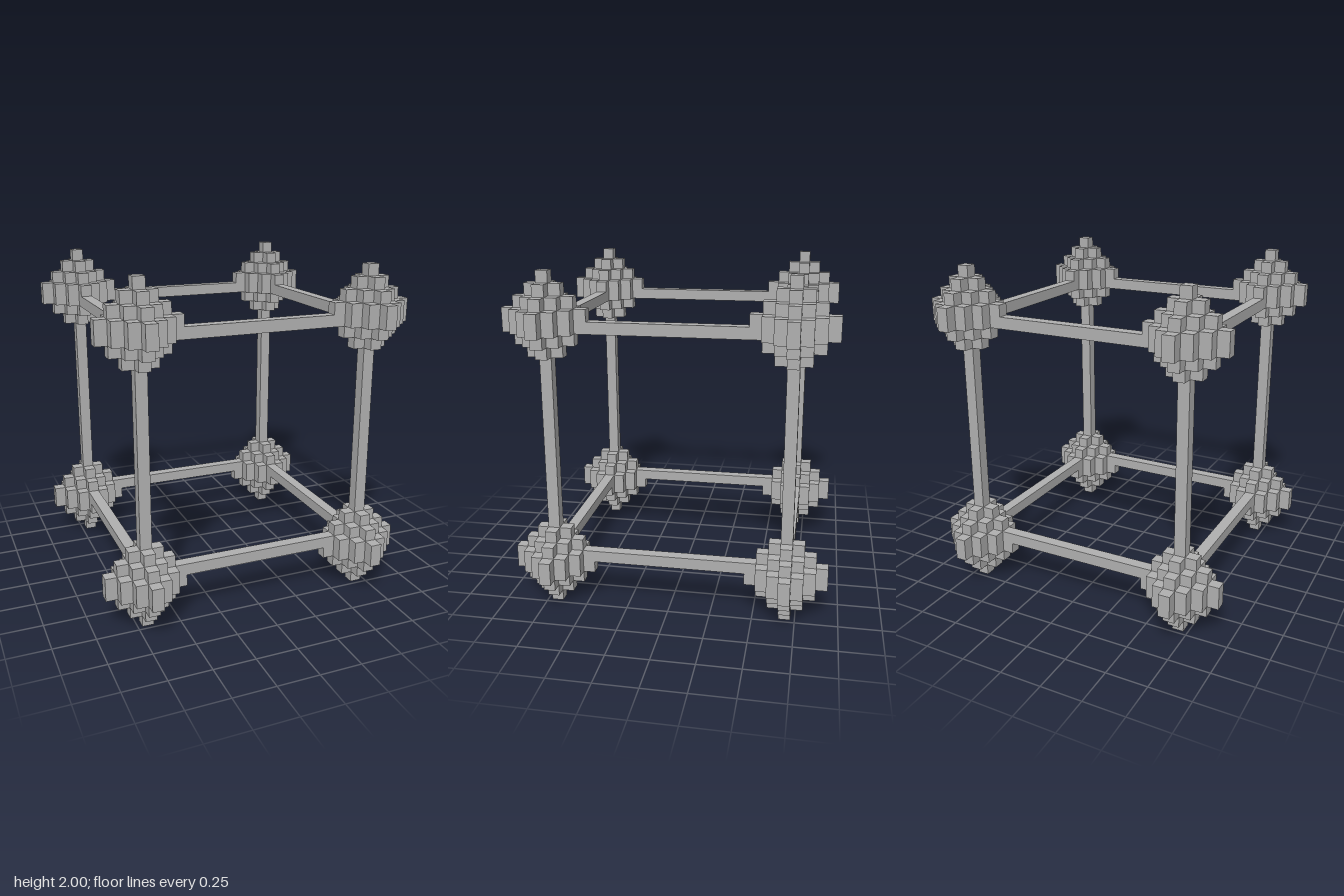
import * as THREE from 'three';

const U = 2 / 29;      // one block
const SPAN = 10 * U;   // corner offset from the centre axis

const stone = new THREE.MeshStandardMaterial({ color: 0xb0b0b0 });
stone.name = 'stone grey';

// Stepped diamond outline reaching k blocks from its centre, extruded upright
function diamondPrism(k, height) {
  const points = [];
  for (let q = 0; q < 4; q++) {
    for (let i = 0; i <= k; i++) {
      const steps = [[i + 0.5, k - i + 0.5]];
      if (i < k) steps.push([i + 0.5, k - i - 0.5]);
      for (let [x, y] of steps) {
        for (let r = 0; r < q; r++) [x, y] = [y, -x];
        points.push(new THREE.Vector2(x * U, y * U));
      }
    }
  }
  const geometry = new THREE.ExtrudeGeometry(new THREE.Shape(points), {
    depth: height, bevelEnabled: false,
  });
  return geometry.translate(0, 0, -height / 2).rotateX(-Math.PI / 2);
}

export function createModel() {
  const model = new THREE.Group();
  model.name = 'cubeFrame';

  const addBar = (name, w, h, d, x, y, z) => {
    const bar = new THREE.Mesh(new THREE.BoxGeometry(w * U, h * U, d * U), stone);
    bar.name = name;
    bar.position.set(x, y, z);
    model.add(bar);
  };

  // Corner nodes: nested prisms, tall and thin to short and wide
  const prisms = [0, 1, 2, 3].map((k) => diamondPrism(k, (8 - 2 * k) * U));
  for (const x of [-SPAN, SPAN]) {
    for (const z of [-SPAN, SPAN]) {
      for (const y of [4 * U, 25 * U]) {
        const node = new THREE.Group();
        node.name = 'cornerNode';
        node.position.set(x, y, z);
        prisms.forEach((geometry) => {
          const tier = new THREE.Mesh(geometry, stone);
          tier.name = 'nodeTier';
          node.add(tier);
        });
        model.add(node);
      }
      // Upright between the lower and upper nodes
      addBar('upright', 1, 13, 1, x, 14.5 * U, z);
    }
  }

  // Horizontal bars of the lower and upper squares
  for (const y of [4.5 * U, 24.5 * U]) {
    for (const side of [-SPAN, SPAN]) {
      addBar('crossBar', 13, 1, 1, 0, y, side);
      addBar('sideBar', 1, 1, 13, side, y, 0);
    }
  }
  return model;
}
